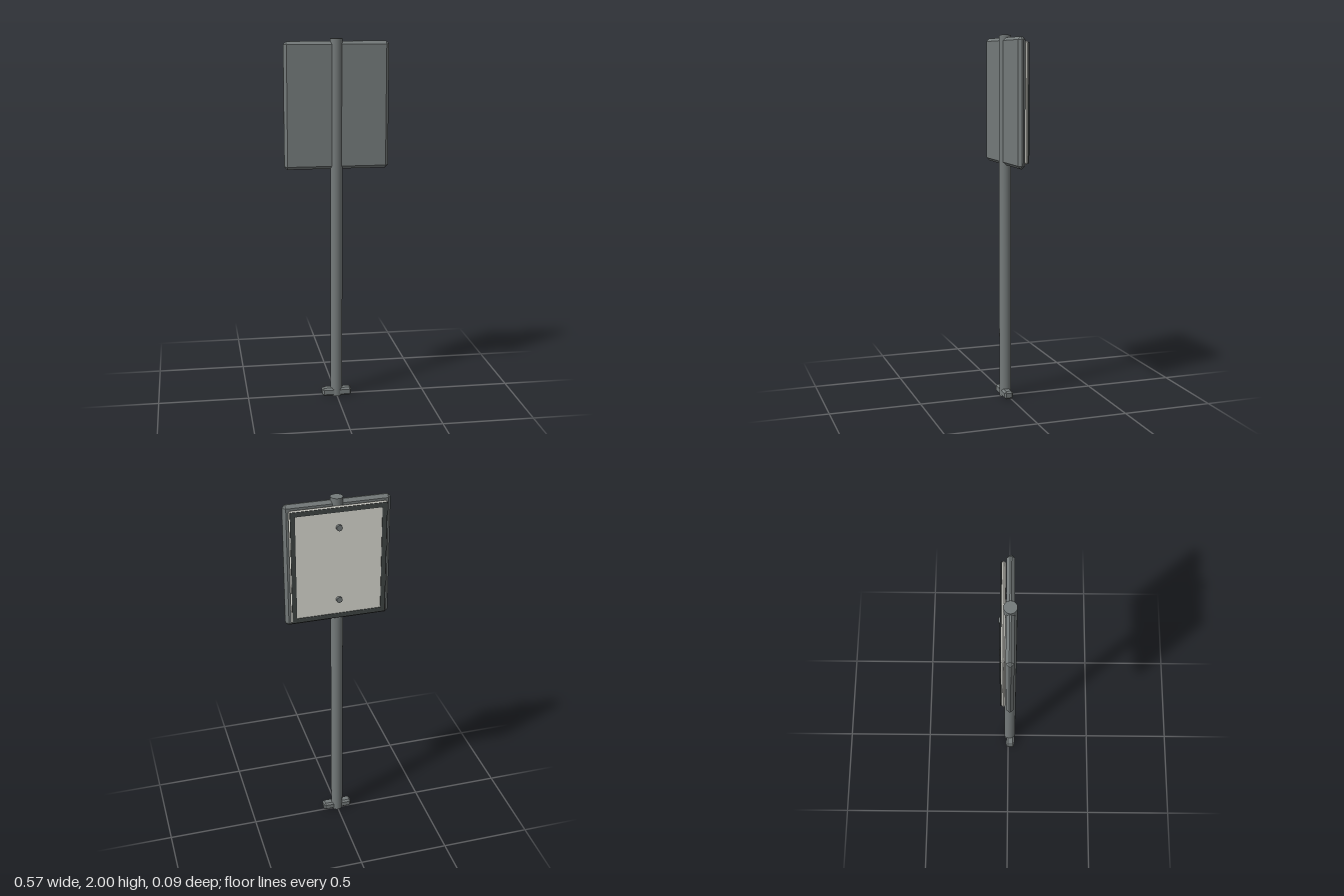
import * as THREE from 'three';
import { ConvexGeometry } from 'three/addons/geometries/ConvexGeometry.js';

const steel = new THREE.MeshStandardMaterial({ color: 0x747a7a });
const dark = new THREE.MeshStandardMaterial({ color: 0x414645 });
const white = new THREE.MeshStandardMaterial({ color: 0xdcdcd4 });

// Box with every edge cut off at 45 degrees
function chamferBox(w, h, d, c) {
  const half = [w / 2, h / 2, d / 2];
  const points = [];
  for (let axis = 0; axis < 3; axis++)
    for (const sx of [-1, 1]) for (const sy of [-1, 1]) for (const sz of [-1, 1]) {
      const p = half.map((v, i) => (i === axis ? v : v - c));
      points.push(new THREE.Vector3(p[0] * sx, p[1] * sy, p[2] * sz));
    }
  return new ConvexGeometry(points);
}

function rectangle(path, w, h) {
  path.moveTo(-w / 2, -h / 2);
  path.lineTo(w / 2, -h / 2);
  path.lineTo(w / 2, h / 2);
  path.lineTo(-w / 2, h / 2);
  path.closePath();
  return path;
}

export function createModel() {
  const group = new THREE.Group();
  const add = (name, geometry, material, x, y, z) => {
    const mesh = new THREE.Mesh(geometry, material);
    mesh.name = name;
    mesh.position.set(x, y, z);
    group.add(mesh);
    return mesh;
  };

  // Pole and foot
  add('pole', new THREE.CylinderGeometry(0.033, 0.033, 2, 32), steel, 0, 1, 0.01);
  add('foot', chamferBox(0.166, 0.045, 0.051, 0.01), steel, 0, 0.0225, 0.0135);

  // Backing board and the sign face on its rear side
  add('backingBoard', chamferBox(0.566, 0.682, 0.04, 0.016), steel, 0, 1.645, 0.01);
  add('signPanel', chamferBox(0.516, 0.636, 0.02, 0.008), white, 0, 1.645, -0.023);

  // Dark border around the sign face
  const border = rectangle(new THREE.Shape(), 0.5, 0.62);
  border.holes.push(rectangle(new THREE.Path(), 0.462, 0.582));
  const borderGeometry = new THREE.ExtrudeGeometry(border, {
    depth: 0.004, bevelEnabled: true, bevelSize: 0.003, bevelThickness: 0.002, bevelSegments: 1,
  });
  add('signBorder', borderGeometry, dark, 0, 1.645, -0.037);

  // Bolts
  for (const y of [1.85, 1.44]) {
    const bolt = add('bolt', new THREE.CylinderGeometry(0.016, 0.016, 0.017, 16), steel, 0, y, -0.0385);
    bolt.rotation.x = Math.PI / 2;
  }
  return group;
}
